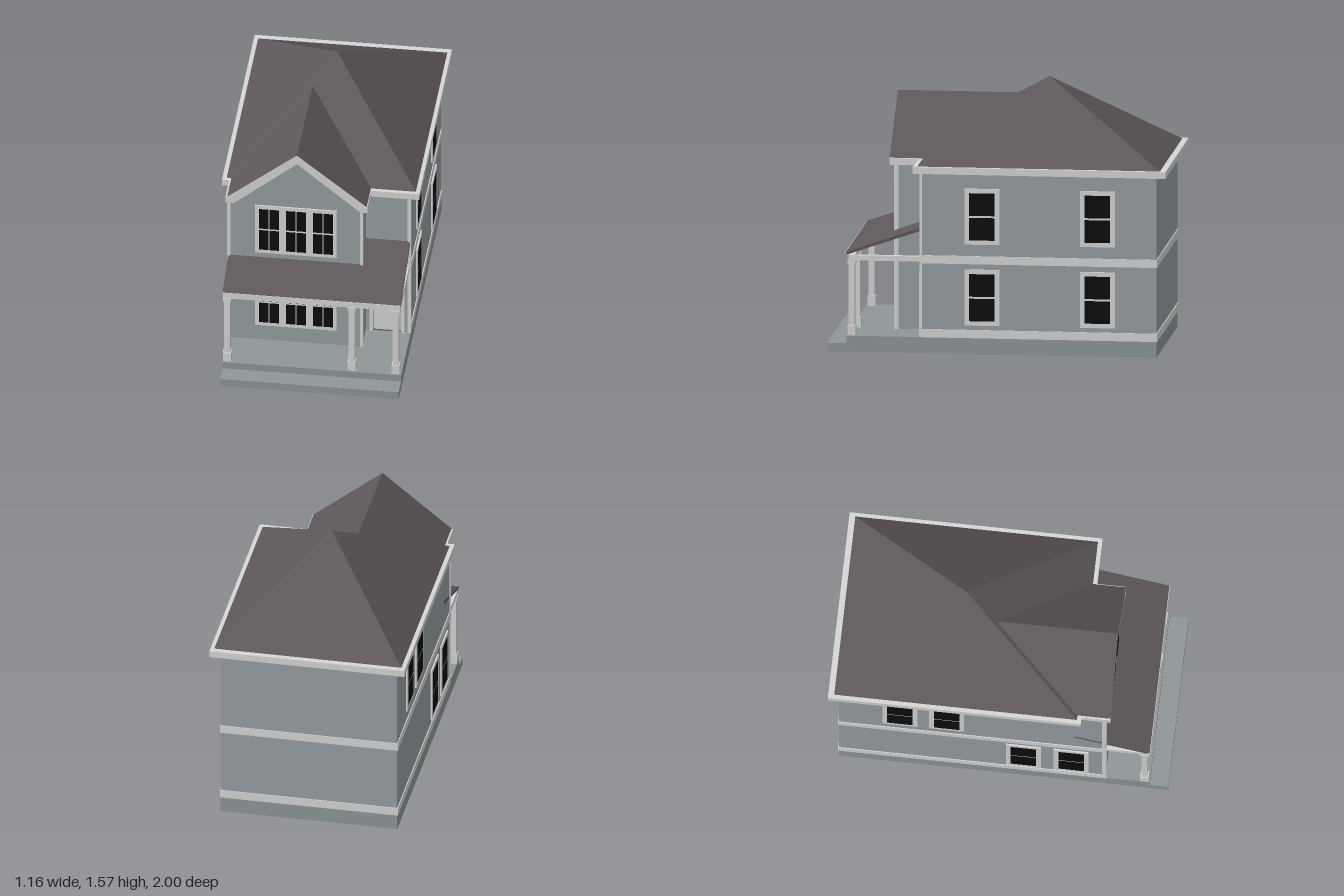
import * as THREE from 'three';

const mat = (name, color, side = THREE.FrontSide) => {
  const m = new THREE.MeshStandardMaterial({ color, side });
  m.name = name;
  return m;
};

export function createModel() {
  const house = new THREE.Group();
  house.name = 'house';
  const siding = mat('grey siding', 0x979fa2);
  const concrete = mat('concrete', 0x8f9799);
  const trim = mat('white trim', 0xd6d6d6);
  const shingle = mat('dark shingle', 0x5e575b, THREE.DoubleSide);
  const glass = mat('black glass', 0x0c0c0c);
  const metal = mat('door metal', 0x6a6a6a);

  const add = (name, geo, m, parent = house) => {
    const mesh = new THREE.Mesh(geo, m);
    mesh.name = name;
    parent.add(mesh);
    return mesh;
  };
  // Box given by its minimum and maximum on each axis
  const box = (name, m, x0, x1, y0, y1, z0, z1, parent = house) => {
    const mesh = add(name, new THREE.BoxGeometry(x1 - x0, y1 - y0, z1 - z0), m, parent);
    mesh.position.set((x0 + x1) / 2, (y0 + y1) / 2, (z0 + z1) / 2);
    return mesh;
  };
  const extrude = (pts, depth) => new THREE.ExtrudeGeometry(
    new THREE.Shape(pts.map(p => new THREE.Vector2(...p))), { depth, bevelEnabled: false });
  const triangles = (points, index) => {
    const g = new THREE.BufferGeometry();
    g.setAttribute('position', new THREE.Float32BufferAttribute(points.flat(), 3));
    g.setIndex(index);
    const flat = g.toNonIndexed();
    flat.computeVertexNormals();
    return flat;
  };

  const L = -0.53, R = 0.522, BACK = -0.94, FRONT = 0.45;   // main block
  const BAY = 0.26, BAYZ = 0.63, CX = -0.12;                // front bay and its ridge
  const EAVE0 = 1.075, EAVE1 = 1.115;

  // Foundation, porch floor and step
  box('foundation', concrete, L, 0.525, 0, 0.095, BACK, 0.89);
  box('frontStep', concrete, L, 0.525, 0, 0.05, 0.89, 1);

  // Walls
  box('mainWalls', siding, L, R, 0.095, EAVE0, BACK, FRONT);
  const bay = extrude([[L, 0.095], [BAY, 0.095], [BAY, 1.1], [CX, 1.42], [L, 1.1]], BAYZ - FRONT);
  add('bayWalls', bay, siding).position.z = FRONT;

  // Horizontal bands around the sides and back
  for (const [y0, y1] of [[0.095, 0.144], [0.535, 0.583]]) {
    box('leftBand', trim, L - 0.005, L + 0.01, y0, y1, BACK - 0.005, BAYZ);
    box('rightBand', trim, R - 0.01, R + 0.005, y0, y1, BACK - 0.005, FRONT);
    box('backBand', trim, L, R, y0, y1, BACK - 0.005, BACK + 0.01);
  }

  // Corner boards and frieze
  box('mainCorner', trim, R - 0.015, R + 0.005, 0.095, EAVE0, FRONT - 0.01, FRONT + 0.006);
  box('bayRightCorner', trim, BAY - 0.01, BAY + 0.007, 0.095, EAVE0, BAYZ - 0.02, BAYZ + 0.006);
  box('bayLeftCorner', trim, L - 0.005, L + 0.014, 0.095, EAVE0, BAYZ - 0.02, BAYZ + 0.006);
  box('frontFrieze', trim, BAY, R, 1.055, EAVE0, FRONT, FRONT + 0.006);

  // Main eaves and hipped roof
  box('mainEaves', trim, -0.585, 0.58, EAVE0, EAVE1, -1, 0.49);
  add('hipRoof', triangles(
    [[-0.56, EAVE1, 0.465], [0.557, EAVE1, 0.465], [0.557, EAVE1, -0.965], [-0.56, EAVE1, -0.965], [0, 1.57, -0.25]],
    [0, 1, 4, 1, 2, 4, 2, 3, 4, 3, 0, 4]), shingle);

  // Gable roof over the bay, meeting the hip roof along two valleys
  const HW = 0.412, PEAK = 1.448;
  add('gableRoof', triangles(
    [[CX - HW, EAVE1 + 0.002, 0.66], [CX, PEAK, 0.66], [CX + HW, EAVE1 + 0.002, 0.66],
      [CX - HW, EAVE1 + 0.002, 0.46], [CX, PEAK, -0.06], [CX + HW, EAVE1 + 0.002, 0.46]],
    [0, 1, 4, 0, 4, 3, 2, 5, 4, 2, 4, 1]), shingle);
  const rake = extrude([
    [-HW, EAVE0], [-0.372, EAVE0], [0, 1.385], [0.372, EAVE0],
    [HW, EAVE0], [HW, EAVE1], [0, PEAK - 0.002], [-HW, EAVE1]], 0.028);
  add('gableRake', rake, trim).position.set(CX, 0, 0.63);
  box('gableLeftEave', trim, CX - HW - 0.01, L + 0.01, EAVE0, EAVE1, 0.49, 0.66);
  box('gableRightEave', trim, BAY - 0.01, CX + HW + 0.004, EAVE0, EAVE1, 0.45, 0.66);

  // Porch roof, gutter and beams
  const porch = extrude([[0.89, 0.575], [0.89, 0.592], [0.445, 0.748], [0.445, 0.728]], R - L);
  porch.rotateY(-Math.PI / 2);
  add('porchRoof', porch, shingle).position.x = R;
  box('porchGutter', trim, L, R, 0.573, 0.592, 0.878, 0.893);
  box('porchFrontBeam', trim, L + 0.005, R - 0.005, 0.542, 0.573, 0.84, 0.876);
  box('porchLeftBeam', trim, L + 0.005, L + 0.035, 0.542, 0.573, BAYZ, 0.84);
  box('porchRightBeam', trim, R - 0.035, R - 0.005, 0.542, 0.573, FRONT, 0.84);

  // Porch posts
  for (const x of [-0.505, 0.23, 0.49]) {
    const post = new THREE.Group();
    post.name = 'porchPost';
    post.position.set(x, 0, 0.858);
    house.add(post);
    box('postShaft', trim, -0.018, 0.018, 0.095, 0.545, -0.018, 0.018, post);
    box('postBase', trim, -0.024, 0.024, 0.095, 0.155, -0.024, 0.024, post);
    box('postCap', trim, -0.024, 0.024, 0.52, 0.543, -0.024, 0.024, post);
  }

  // Window: a frame with sashes, each split into panes; faces local +z
  const makeWindow = (name, x, y, z, turn, w, h, sashes, cols, sashW, sashH, pitch) => {
    const win = new THREE.Group();
    win.name = name;
    win.position.set(x, y, z);
    win.rotation.y = turn;
    house.add(win);
    box('windowFrame', trim, -w / 2, w / 2, -h / 2, h / 2, -0.005, 0.009, win);
    const paneW = (sashW - 0.006 * (cols - 1)) / cols, paneH = (sashH - 0.012) / 2;
    for (let s = 0; s < sashes; s++) {
      const sx = (s - (sashes - 1) / 2) * pitch;
      for (let c = 0; c < cols; c++) {
        const px = sx - sashW / 2 + c * (paneW + 0.006);
        for (const py of [-sashH / 2, 0.006]) {
          box('windowPane', glass, px, px + paneW, py, py + paneH, 0.007, 0.0105, win);
        }
      }
    }
  };
  for (const y of [0.887, 0.368]) {
    makeWindow('frontWindow', -0.129, y, BAYZ, 0, 0.482, 0.335, 3, 2, 0.118, 0.288, 0.159);
  }
  const sideWindow = (name, x, y, z, turn) =>
    makeWindow(name, x, y, z, turn, 0.206, 0.332, 1, 1, 0.15, 0.28, 0);
  for (const y of [0.818, 0.337]) {
    for (const z of [0.088, -0.594]) sideWindow('rightWindow', R, y, z, Math.PI / 2);
  }
  for (const [z, y] of [[-0.58, 0.818], [-0.305, 0.818], [0.147, 0.337], [0.428, 0.337]]) {
    sideWindow('leftWindow', L, y, z, -Math.PI / 2);
  }

  // Front door with surround, small lights and knob
  const D = FRONT;
  box('doorSurroundLeft', trim, 0.283, 0.303, 0.095, 0.475, D, D + 0.014);
  box('doorSurroundRight', trim, 0.47, 0.49, 0.095, 0.475, D, D + 0.014);
  box('doorSurroundTop', trim, 0.283, 0.49, 0.457, 0.475, D, D + 0.014);
  box('doorGap', metal, 0.303, 0.47, 0.095, 0.457, D, D + 0.002);
  box('doorPanel', trim, 0.307, 0.466, 0.108, 0.453, D, D + 0.007);
  for (let i = 0; i < 3; i++) {
    const x = 0.343 + i * 0.033;
    box('doorLight', glass, x, x + 0.028, 0.348, 0.412, D + 0.006, D + 0.009);
  }
  const knob = add('doorKnob', new THREE.SphereGeometry(0.006, 12, 8), metal);
  knob.position.set(0.458, 0.255, D + 0.011);

  return house;
}
